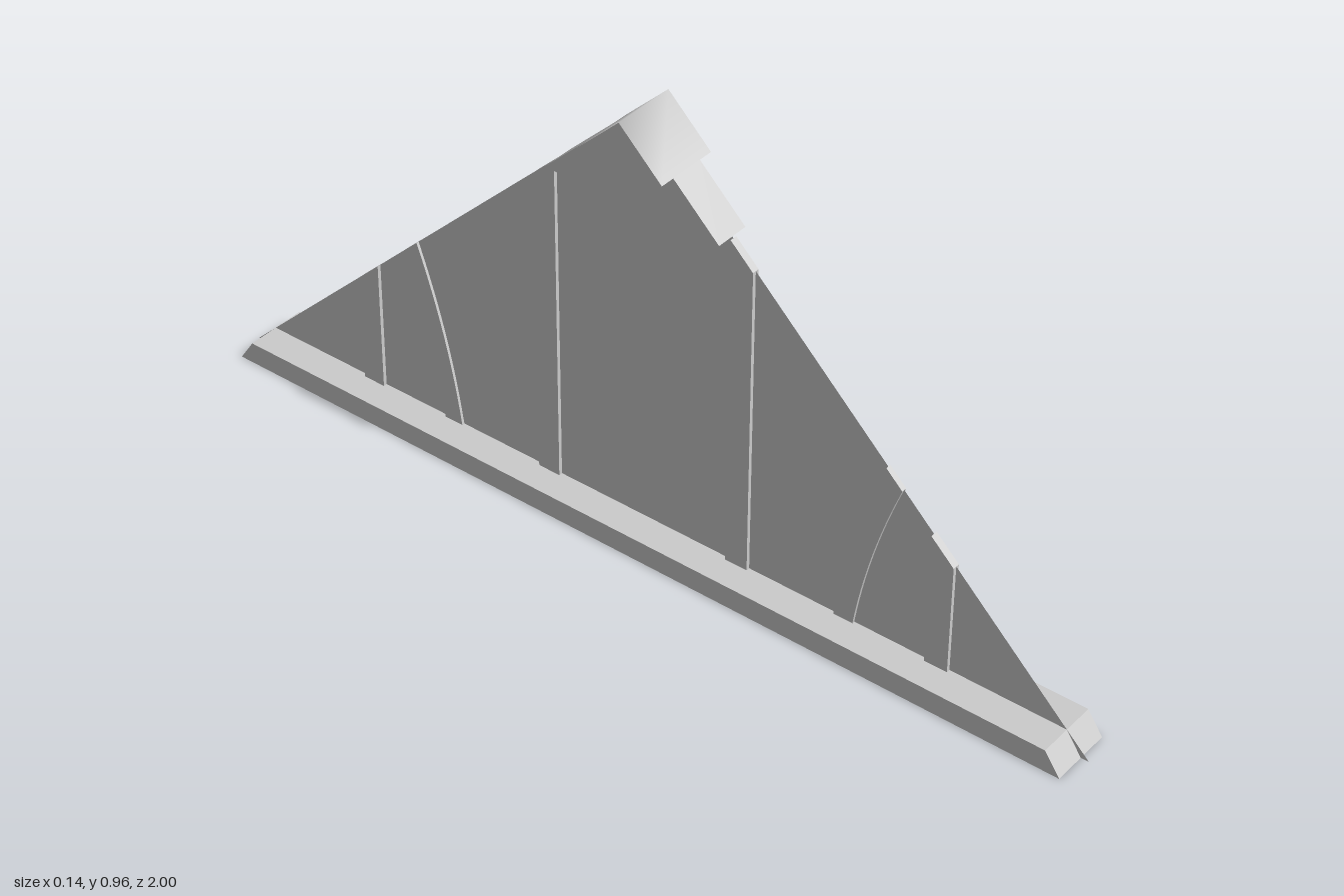
import * as THREE from 'three';
import { toCreasedNormals } from 'three/addons/utils/BufferGeometryUtils.js';

const HEIGHT = 0.962;
const slope = (z) => HEIGHT * (1 - Math.abs(z)); // roof line over z
const reach = (y) => 1 - y / HEIGHT; // half length of the gable at height y
const BASE_TOP = 0.048;

const grey = new THREE.MeshStandardMaterial({ color: 0xcccccc });
const greyThin = new THREE.MeshStandardMaterial({ color: 0xcccccc, side: THREE.DoubleSide });

// Prism from a (z, y) outline, centred across x
function prism(name, shape, width) {
  const geo = new THREE.ExtrudeGeometry(shape, { depth: width, bevelEnabled: false, curveSegments: 12 });
  geo.translate(0, 0, -width / 2).rotateY(-Math.PI / 2);
  const mesh = new THREE.Mesh(geo, grey);
  mesh.name = name;
  return mesh;
}

const outline = (pts) => new THREE.Shape(pts.map(([z, y]) => new THREE.Vector2(z, y)));

export function createModel() {
  const group = new THREE.Group();
  group.name = 'gableTruss';

  // Thin triangular infill
  const panelGeo = new THREE.ShapeGeometry(outline([[-1, 0], [1, 0], [0, HEIGHT]]));
  const panel = new THREE.Mesh(panelGeo.rotateY(-Math.PI / 2), greyThin);
  panel.name = 'gablePanel';
  group.add(panel);

  // Bottom beam with sloping ends
  const top = reach(BASE_TOP);
  group.add(prism('baseBeam', outline([[-0.983, 0], [0.983, 0], [top, BASE_TOP], [-top, BASE_TOP]]), 0.137));

  // Stepped peak: narrow lower block, wide ridge cap
  const lo = reach(0.772), hi = reach(0.87);
  group.add(prism('peakBlock', outline([[-lo, 0.772], [lo, 0.772], [hi, 0.87], [-hi, 0.87]]), 0.075));
  const cap = prism('ridgeCap', outline([[-hi, 0.87], [hi, 0.87], [0, HEIGHT]]), 0.138);
  cap.geometry = toCreasedNormals(cap.geometry, 1.55); // soft ridge, sharp ends
  group.add(cap);

  for (const s of [1, -1]) {
    const side = s > 0 ? 'front' : 'back';

    // Upright posts cut to the roof line
    for (const [name, a, b] of [['InnerPost', 0.2, 0.25], ['OuterPost', 0.65, 0.7]]) {
      group.add(prism(side + name, outline([
        [s * a, BASE_TOP], [s * b, BASE_TOP], [s * b, slope(b)], [s * a, slope(a)],
      ]), 0.016));
    }

    // Curved brace
    const brace = new THREE.Shape();
    brace.moveTo(s * 0.447, BASE_TOP);
    brace.quadraticCurveTo(s * 0.475, 0.245, s * 0.547, slope(0.547));
    brace.lineTo(s * 0.583, slope(0.583));
    brace.quadraticCurveTo(s * 0.515, 0.225, s * 0.49, BASE_TOP);
    brace.closePath();
    group.add(prism(side + 'CurvedBrace', brace, 0.012));
  }
  return group;
}
